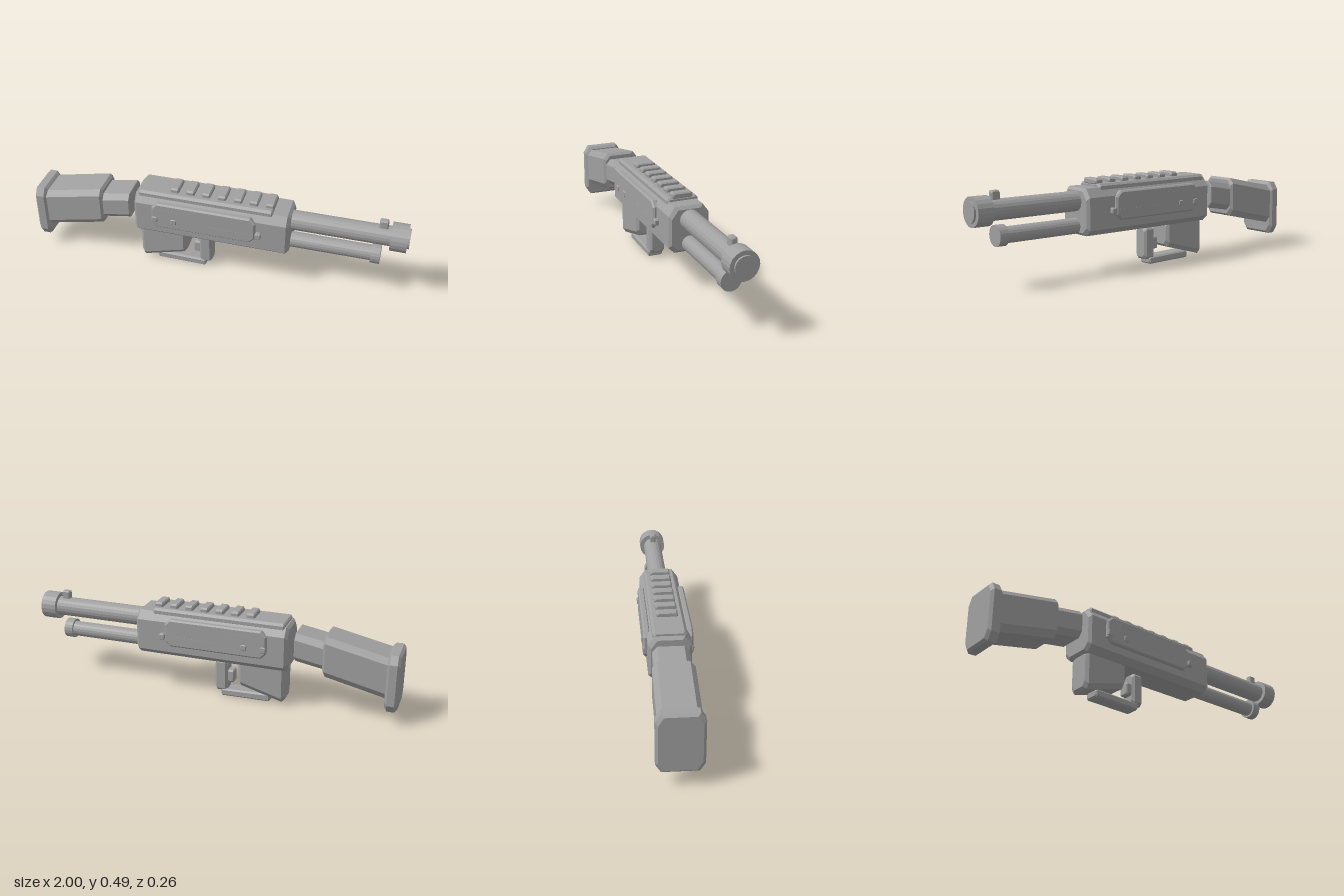
import * as THREE from 'three';

const steel = new THREE.MeshStandardMaterial({ color: 0xa0a0a0, flatShading: true });
steel.name = 'plain grey';

// Octagonal cross-section (cut corners) at one station along x
function ring(x, y0, y1, hz, cz, cyTop, cyBot) {
  return [
    [x, y1, -hz + cz], [x, y1, hz - cz], [x, y1 - cyTop, hz], [x, y0 + cyBot, hz],
    [x, y0, hz - cz], [x, y0, -hz + cz], [x, y0 + cyBot, -hz], [x, y1 - cyTop, -hz],
  ];
}

// Closed bevelled block between two stations [x, yBottom, yTop, halfDepth]
function block(a, b, cz, cyTop = cz, cyBot = cz, bevel = 0.012) {
  const at = (s, dx, d) => ring(s[0] + dx, s[1] + d, s[2] - d, s[3] - d, cz, cyTop, cyBot);
  const rings = [at(a, 0, bevel), at(a, bevel, 0), at(b, -bevel, 0), at(b, 0, bevel)];
  const pos = [];
  const tri = (...p) => p.forEach((v) => pos.push(...v));
  for (let i = 0; i < 3; i++) {
    for (let j = 0; j < 8; j++) {
      const k = (j + 1) % 8;
      const [p, q, r, s] = [rings[i][j], rings[i][k], rings[i + 1][k], rings[i + 1][j]];
      tri(p, q, r);
      tri(p, r, s);
    }
  }
  for (let j = 1; j < 7; j++) {
    tri(rings[0][0], rings[0][j + 1], rings[0][j]);
    tri(rings[3][0], rings[3][j], rings[3][j + 1]);
  }
  const g = new THREE.BufferGeometry();
  g.setAttribute('position', new THREE.Float32BufferAttribute(pos, 3));
  g.computeVertexNormals();
  return g;
}

// Thin plate with cut corners and a bevelled rim, centred in z
function plate(x0, x1, y0, y1, depth, cut, bevel) {
  const [l, r, b, t] = [x0 + bevel, x1 - bevel, y0 + bevel, y1 - bevel];
  const shape = new THREE.Shape([
    [l + cut, b], [r - cut, b], [r, b + cut], [r, t - cut],
    [r - cut, t], [l + cut, t], [l, t - cut], [l, b + cut],
  ].map((p) => new THREE.Vector2(...p)));
  const g = new THREE.ExtrudeGeometry(shape, {
    depth: depth - 2 * bevel, bevelEnabled: true, bevelSegments: 1, bevelSize: bevel, bevelThickness: bevel,
  });
  return g.translate(0, 0, bevel - depth / 2);
}

// Round bar along x
function rod(x0, x1, y, r) {
  return new THREE.CylinderGeometry(r, r, x1 - x0, 20).rotateZ(-Math.PI / 2).translate((x0 + x1) / 2, y, 0);
}

export function createModel() {
  const model = new THREE.Group();
  model.name = 'shotgun';
  const add = (name, geometry, z = 0) => {
    const mesh = new THREE.Mesh(geometry, steel);
    mesh.name = name;
    mesh.position.z = z;
    model.add(mesh);
  };

  // Receiver and top rail
  add('receiver', block([-0.43, 0.21, 0.45, 0.107], [0.4, 0.21, 0.45, 0.107], 0.033, 0.045, 0.03, 0.014));
  add('railBase', block([-0.41, 0.43, 0.468, 0.084], [0.31, 0.43, 0.468, 0.084], 0.012, 0.012, 0.008, 0.008));
  for (let i = 0; i < 7; i++) {
    const x = -0.219 + i * 0.0845;
    add('railTooth', block([x - 0.023, 0.46, 0.491, 0.054], [x + 0.023, 0.46, 0.491, 0.054], 0.008, 0.008, 0.006, 0.006));
  }

  // Side plates with studs and fine seams
  for (const s of [1, -1]) {
    add('sidePlate', plate(-0.327, 0.23, 0.279, 0.429, 0.035, 0.025, 0.008), s * 0.107);
    for (const x of [-0.31, -0.207, 0.245]) {
      add('sideStud', plate(x - 0.016, x + 0.016, 0.313, 0.346, 0.03, 0.004, 0.004), s * 0.114);
    }
    add('upperSeam', new THREE.BoxGeometry(0.14, 0.004, 0.002).translate(-0.18, 0.396, 0), s * 0.1245);
    add('lowerSeam', new THREE.BoxGeometry(0.27, 0.004, 0.002).translate(0.08, 0.334, 0), s * 0.1245);
  }

  // Barrel, muzzle ring, front sight and magazine tube
  add('barrel', rod(0.38, 1.0, 0.382, 0.052));
  add('muzzleRing', rod(0.905, 0.99, 0.382, 0.074));
  add('frontSight', block([0.84, 0.42, 0.475, 0.017], [0.886, 0.42, 0.475, 0.017], 0.006, 0.006, 0.006, 0.006));
  add('magazineTube', rod(0.38, 0.85, 0.256, 0.041));
  add('magazineCap', rod(0.818, 0.866, 0.257, 0.053));

  // Shoulder stock
  add('stockNeck', block([-0.63, 0.245, 0.395, 0.09], [-0.463, 0.273, 0.424, 0.09], 0.025, 0.03, 0.03, 0.003));
  add('stock', block([-0.95, 0.143, 0.363, 0.102], [-0.613, 0.213, 0.43, 0.102], 0.025, 0.03, 0.035, 0.012));
  add('buttPlate', block([-1.0, 0.077, 0.382, 0.113], [-0.935, 0.077, 0.382, 0.113], 0.026, 0.042, 0.042, 0.013));

  // Grip, tapering in depth toward the front
  add('grip', block([-0.413, 0.02, 0.225, 0.068], [-0.16, 0.083, 0.225, 0.068], 0.018, 0.01, 0.025, 0.015));

  // Trigger guard and trigger
  add('guardBar', block([-0.33, 0.004, 0.046, 0.042], [-0.058, 0.0, 0.04, 0.042], 0.008, 0.008, 0.008, 0.007));
  add('guardPost', block([-0.093, 0.028, 0.205, 0.042], [-0.024, 0.028, 0.205, 0.042], 0.014, 0.014, 0.014, 0.012));
  add('trigger', block([-0.125, 0.078, 0.147, 0.028], [-0.085, 0.078, 0.147, 0.028], 0.008, 0.008, 0.008, 0.005));

  return model;
}
